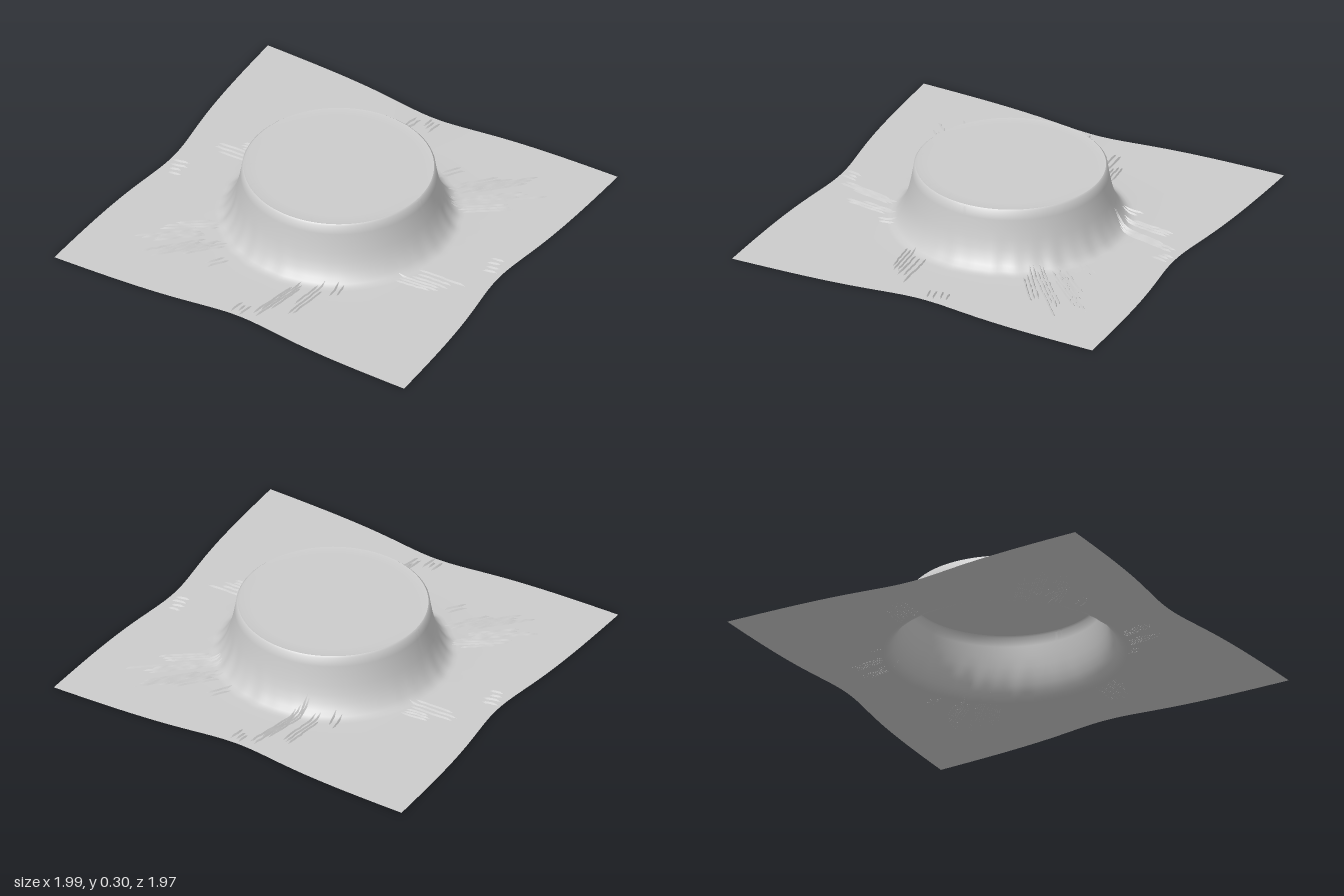
import * as THREE from 'three';
import { toCreasedNormals } from 'three/addons/utils/BufferGeometryUtils.js';

const CX = 0.005, CZ = -0.018; // centre of the raised disc
const TOP = 0.3;

// Cross-section of the draped wall: radius, height
const WALL = [[0.462, 0.302], [0.47, 0.295], [0.477, 0.25], [0.486, 0.2], [0.497, 0.15],
  [0.51, 0.105], [0.527, 0.066], [0.546, 0.035], [0.565, 0.014], [0.585, 0.004], [0.605, 0.002]];

// Bundles of creases, each repeated by a half turn: x1, z1, x2, z2, strands, spread
const CREASES = [
  [0.37, -0.44, 0.68, -0.78, 4, 0.05], [0.33, -0.45, 0.54, -0.68, 3, 0.04],
  [0.41, -0.38, 0.77, -0.69, 4, 0.05], [0.44, -0.33, 0.7, -0.52, 3, 0.04],
  [0.25, -0.53, 0.34, -0.66, 2, 0.03], [0.5, 0.18, 0.85, 0.17, 3, 0.06],
  [0.5, 0.26, 0.74, 0.24, 3, 0.04], [0.81, -0.06, 0.91, -0.08, 4, 0.1],
  [-0.15, -0.5, -0.07, -0.89, 4, 0.04], [-0.24, -0.48, -0.2, -0.79, 3, 0.04],
  [-0.31, -0.44, -0.32, -0.58, 2, 0.03], [0.02, -0.91, 0, -0.8, 3, 0.05],
];

let seed = 7;
const rand = () => (seed = (seed * 16807) % 2147483647) / 2147483647;

// Height of the cloth at a radius, interpolated along the wall section
function wallHeight(r) {
  if (r <= WALL[0][0]) return TOP;
  for (let i = 1; i < WALL.length; i++) {
    const [a, p] = WALL[i - 1], [b, q] = WALL[i];
    if (r <= b) return p + (q - p) * (r - a) / (b - a);
  }
  return 0.001;
}

// Hem of the cloth: a square whose sides are drawn in at the middle
function hemPoints(n) {
  const dip = (t) => 0.08 / (1 + (t / 0.37) ** 2);
  const sideX = (t) => 1.005 - dip(t), sideZ = (t) => 0.997 - dip(t);
  const points = [];
  for (let s = 0; s < 4; s++) {
    for (let i = 0; i < n; i++) {
      const t = -1 + 2 * i / n, sign = s < 2 ? 1 : -1;
      const [x, z] = s % 2 ? [sideX(t), t * sideZ(1)] : [t * sideX(1), -sideZ(t)];
      points.push([sign * x, sign * z]);
    }
  }
  return points;
}

// Geometry from points and triangles, with sharp folds kept
function surface(pos, index, angle) {
  const g = new THREE.BufferGeometry();
  g.setAttribute('position', new THREE.Float32BufferAttribute(pos, 3));
  g.setIndex(index);
  return toCreasedNormals(g, angle);
}

// One continuous cloth: flat top, flared wall, skirt on the ground
function clothGeometry() {
  const hem = hemPoints(56), n = hem.length, rings = [];
  const ring = (y, radius) => rings.push(hem.map(([x, z]) => {
    const a = Math.atan2(z - CZ, x - CX), r = radius(a);
    return [CX + r * Math.cos(a), y, CZ + r * Math.sin(a)];
  }));
  for (const r of [0.2, 0.4, 0.452]) ring(TOP, () => r);
  for (const [r, y] of WALL) {
    const low = Math.max(0, 1 - y / 0.15); // ripples fade out up the wall
    ring(y, (a) => {
      const ripple = 0.5 * Math.sin(34 * a) + 0.5 * Math.sin(21 * a + 1);
      return r + low * 0.006 * ripple * (0.5 + 0.5 * Math.cos(2 * a + 1.6));
    });
  }
  const foot = rings[rings.length - 1];
  for (const t of [0.25, 0.5, 0.75, 1]) {
    rings.push(hem.map(([x, z], i) => [
      foot[i][0] + (x - foot[i][0]) * t, 0.002 * (1 - t), foot[i][2] + (z - foot[i][2]) * t]));
  }
  const pos = [CX, TOP, CZ, ...rings.flat(2)], index = [];
  for (let i = 0; i < n; i++) {
    const j = (i + 1) % n;
    index.push(0, 1 + j, 1 + i);
    for (let k = 0; k < rings.length - 1; k++) {
      const a = 1 + k * n, b = a + n;
      index.push(a + i, a + j, b + i, a + j, b + j, b + i);
    }
  }
  return surface(pos, index, 0.7);
}

// A thin tent-shaped ridge lying on the cloth, slightly stepped along its length
function creaseGeometry([x1, z1], [x2, z2]) {
  const len = Math.hypot(x2 - x1, z2 - z1), nx = -(z2 - z1) / len, nz = (x2 - x1) / len;
  const steps = Math.max(4, Math.round(len / 0.025)), pos = [], index = [];
  for (let i = 0; i <= steps; i++) {
    const t = i / steps, inner = i > 0 && i < steps;
    const w = inner ? 0.005 : 0.001, h = inner ? 0.009 : 0;
    const shift = (rand() - 0.5) * 0.005;
    for (const [side, up] of [[-w, 0], [0, h], [w, 0]]) {
      const x = x1 + (x2 - x1) * t + nx * (side + shift);
      const z = z1 + (z2 - z1) * t + nz * (side + shift);
      pos.push(x, wallHeight(Math.hypot(x - CX, z - CZ)) + up, z);
    }
    if (i < steps) {
      for (const a of [i * 3, i * 3 + 1]) index.push(a, a + 1, a + 3, a + 1, a + 4, a + 3);
    }
  }
  return surface(pos, index, 0.6);
}

export function createModel() {
  const group = new THREE.Group();
  group.name = 'drapedCloth';
  const material = new THREE.MeshStandardMaterial({ color: 0xcccccc, side: THREE.DoubleSide });

  const cloth = new THREE.Mesh(clothGeometry(), material);
  cloth.name = 'cloth';
  group.add(cloth);

  // Creases, each bundle made of parallel strands of uneven length
  const creases = new THREE.Group();
  creases.name = 'creases';
  for (const [x1, z1, x2, z2, strands, spread] of CREASES) {
    const len = Math.hypot(x2 - x1, z2 - z1), nx = -(z2 - z1) / len, nz = (x2 - x1) / len;
    for (const turn of [1, -1]) {
      for (let i = 0; i < strands; i++) {
        const o = (i / (strands - 1) - 0.5) * spread;
        const at = (t) => [turn * (x1 + (x2 - x1) * t + nx * o), turn * (z1 + (z2 - z1) * t + nz * o)];
        const crease = new THREE.Mesh(creaseGeometry(at(rand() * 0.25), at(1 - rand() * 0.3)), material);
        crease.name = 'crease';
        creases.add(crease);
      }
    }
  }
  group.add(creases);
  return group;
}
